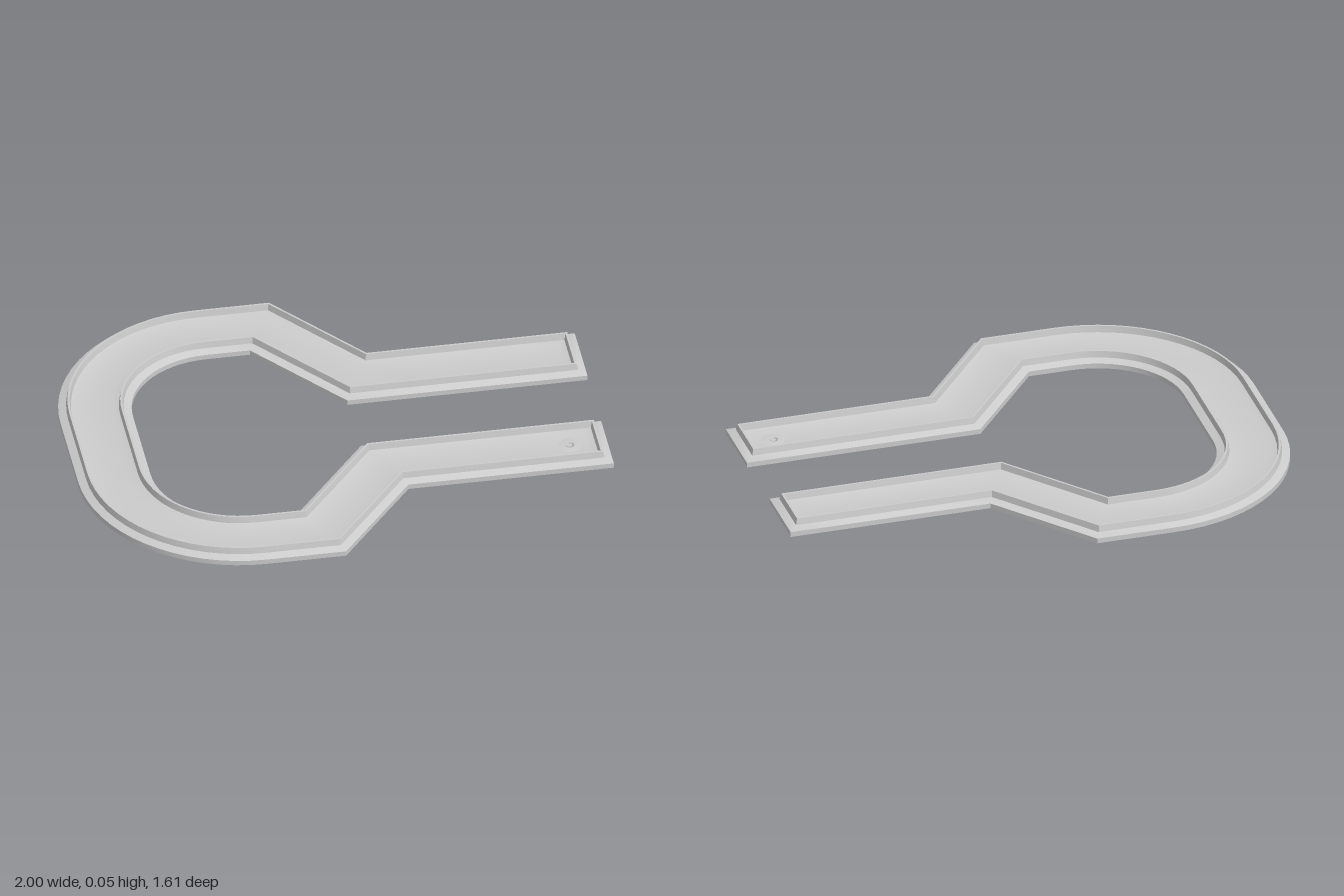
import * as THREE from 'three';
import { toCreasedNormals } from 'three/addons/utils/BufferGeometryUtils.js';

const material = new THREE.MeshStandardMaterial({ color: 0xcccccc, side: THREE.DoubleSide });
const HALF_WIDTH = 0.138;
const ARM_Z = 0.285, CURVE_X = -0.39, CURVE_Z = 0.19, RADIUS = 0.475;

// Centre line [x, z]: back arm, sloping bend, quarter turn, then mirrored to the front
function centreLine() {
  const half = [[1, -ARM_Z], [0.77, -ARM_Z], [0.38, -ARM_Z], [0.15, -ARM_Z], [-0.155, -CURVE_Z - RADIUS]];
  const steps = 16;
  for (let i = 0; i <= steps; i++) {
    const a = (i / steps) * Math.PI / 2;
    half.push([CURVE_X - RADIUS * Math.sin(a), -CURVE_Z - RADIUS * Math.cos(a)]);
  }
  return [...half, ...half.map(([x, z]) => [x, -z]).reverse()];
}

// Sideways vectors, lengthened at bends so the channel keeps its width
function sideVectors(path) {
  const dir = (a, b) => new THREE.Vector2(b[0] - a[0], b[1] - a[1]).normalize();
  return path.map((p, i) => {
    const before = dir(path[Math.max(i - 1, 0)], path[Math.max(i, 1)]);
    const k = Math.min(i, path.length - 2);
    const after = dir(path[k], path[k + 1]);
    const t = before.clone().add(after).normalize();
    const s = 1 / t.dot(after);
    return [t.y * s, -t.x * s];
  });
}

// Closed contours at [inset, height] are joined, then floor and underside are bridged
function channelGeometry(levels) {
  const path = centreLine(), sides = sideVectors(path);
  const n = path.length, m = 2 * n;
  const positions = [], index = [];
  for (const [inset, y] of levels) {
    const w = HALF_WIDTH - inset;
    const point = (i, sign) => {
      const x = i === 0 || i === n - 1 ? 1 - inset : path[i][0];
      positions.push(x + sign * w * sides[i][0], y, path[i][1] + sign * w * sides[i][1]);
    };
    for (let i = 0; i < n; i++) point(i, 1);
    for (let i = n - 1; i >= 0; i--) point(i, -1);
  }
  const quad = (a, b, c, d) => index.push(a, b, c, a, c, d);
  for (let l = 0; l < levels.length - 1; l++) {
    for (let i = 0; i < m; i++) {
      const j = (i + 1) % m, lo = l * m, up = lo + m;
      quad(lo + i, up + i, up + j, lo + j);
    }
  }
  const top = (levels.length - 1) * m;
  for (let i = 0; i < n - 1; i++) {
    quad(top + i, top + m - 1 - i, top + m - 2 - i, top + i + 1);
    quad(i, i + 1, m - 2 - i, m - 1 - i);
  }
  const geometry = new THREE.BufferGeometry();
  geometry.setAttribute('position', new THREE.Float32BufferAttribute(positions, 3));
  geometry.setIndex(index);
  return toCreasedNormals(geometry, 0.7);
}

export function createModel() {
  const model = new THREE.Group();
  const add = (name, geometry, x = 0, y = 0, z = 0) => {
    const mesh = new THREE.Mesh(geometry, material);
    mesh.name = name;
    mesh.position.set(x, y, z);
    model.add(mesh);
    return mesh;
  };

  // Trough: recessed underside, sloping outer flange, thin raised rim, dished floor
  add('channel', channelGeometry([
    [0.045, 0.017], [0.035, 0], [0, 0], [0, 0.02], [0.03, 0.03],
    [0.035, 0.055], [0.043, 0.055], [0.048, 0.03], [0.075, 0.024],
  ]));

  // Joint ribs under the floor, one pair for each joint
  const ribLength = 2 * HALF_WIDTH - 0.02;
  for (const side of [-1, 1]) {
    for (const [x, z] of [[0.77, ARM_Z], [0.38, ARM_Z], [CURVE_X, CURVE_Z + RADIUS]]) {
      add('jointRib', new THREE.BoxGeometry(0.022, 0.019, ribLength), x, 0.0105, side * z);
    }
    add('jointRib', new THREE.BoxGeometry(ribLength, 0.019, 0.022), CURVE_X - RADIUS, 0.0105, side * CURVE_Z);
  }

  // Drain outlet near the end of the front arm
  const outlet = [[0.045, 0.0245], [0.02, 0.027], [0.012, 0.025], [0.012, 0.006], [0.02, 0.006], [0.024, 0.018]];
  add('drainOutlet', new THREE.LatheGeometry(outlet.map(([r, y]) => new THREE.Vector2(r, y)), 16), 0.855, 0, ARM_Z);
  return model;
}
